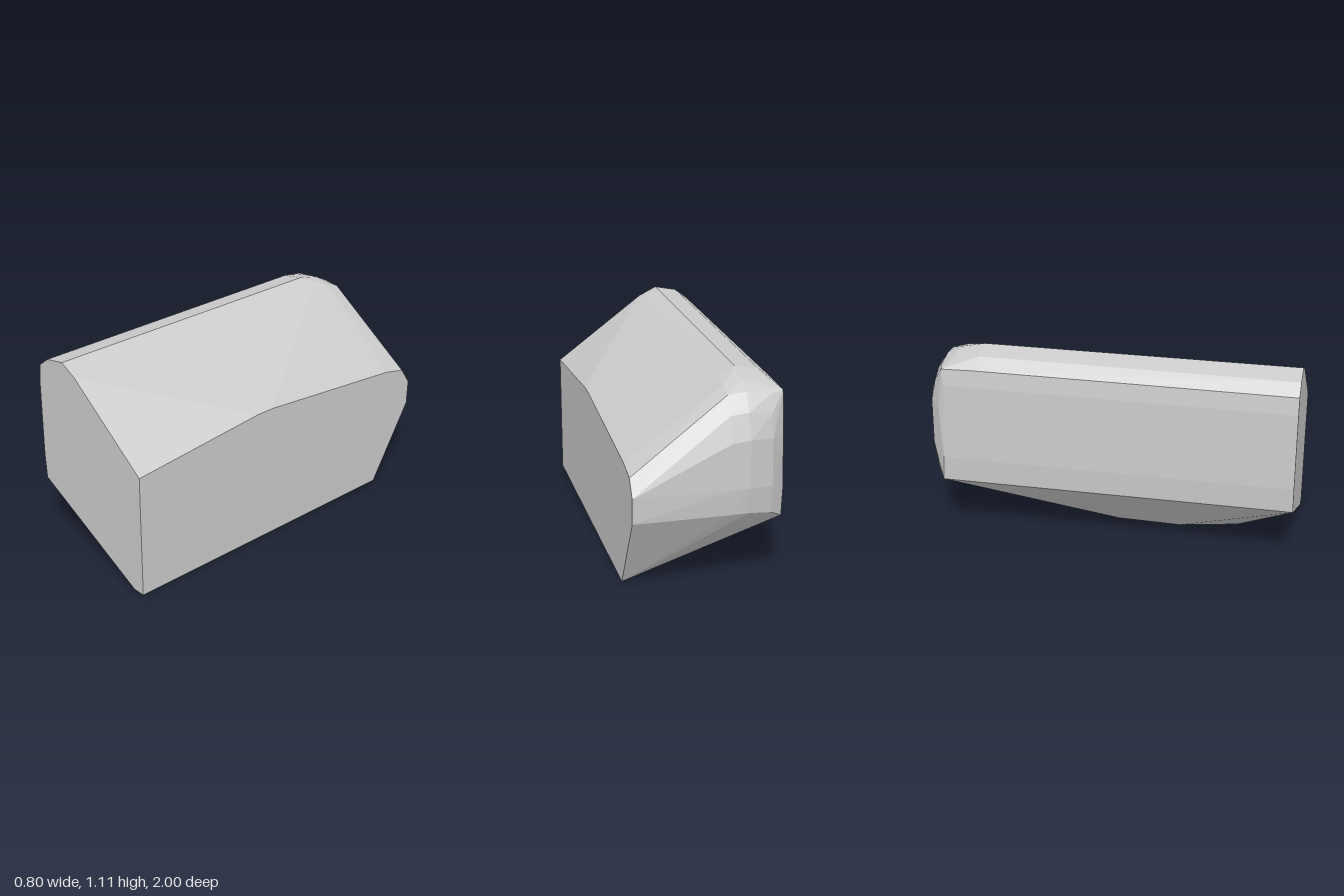
import * as THREE from 'three';
import { ConvexGeometry } from 'three/addons/geometries/ConvexGeometry.js';

export function createModel() {
  const group = new THREE.Group();
  group.name = 'facetedBlock';
  const grey = new THREE.MeshStandardMaterial({ color: 0xcccccc });
  grey.name = 'light grey';
  const points = [];
  const add = (x, y, z) => points.push(new THREE.Vector3(x, y, z));

  // flat front end: [x, y] at z = 1
  [[-0.39, 0.36], [-0.4, 0.5], [-0.4, 0.93], [-0.39, 1.025], [-0.32, 1.08],
    [-0.195, 1.105], [-0.095, 1.055], [0.4, 0.685], [0.4, 0], [0.33, 0]]
    .forEach(([x, y]) => add(x, y, 1));

  // flat right wall: [y, z] at x = 0.4
  [[0.757, 0.2], [0.757, 0.1], [0.675, -0.8], [0.645, -0.93], [0.555, -0.99],
    [0.42, -0.985], [0, -0.73]]
    .forEach(([y, z]) => add(0.4, y, z));

  // curved edge of the base: [x, z] at y = 0
  [[0.22, 0.96], [0.04, 0.67], [-0.03, 0.35], [-0.02, 0], [0.08, -0.32], [0.25, -0.58]]
    .forEach(([x, z]) => add(x, 0, z));

  // rounded back corner: one [y, z] profile per x
  const profiles = [
    [-0.4, [[0.93, -0.87], [0.5, -0.89]]],
    [-0.39, [[1.025, -0.69], [1.02, -0.88], [0.8, -0.905], [0.36, -0.9]]],
    [-0.32, [[1.078, -0.69], [1.05, -0.82], [1.01, -0.9], [0.92, -0.94], [0.8, -0.965],
      [0.55, -0.967], [0.4, -0.945]]],
    [-0.195, [[1.1, -0.69], [1.072, -0.82], [1.03, -0.9], [0.94, -0.957], [0.81, -0.998],
      [0.56, -1], [0.42, -0.978]]],
    [-0.1, [[1.052, -0.69], [1.045, -0.82], [1.02, -0.9], [0.93, -0.957], [0.8, -0.998],
      [0.56, -1], [0.42, -0.982]]],
  ];
  for (const [x, profile] of profiles) profile.forEach(([y, z]) => add(x, y, z));

  const body = new THREE.Mesh(new ConvexGeometry(points), grey);
  body.name = 'body';
  group.add(body);
  return group;
}
